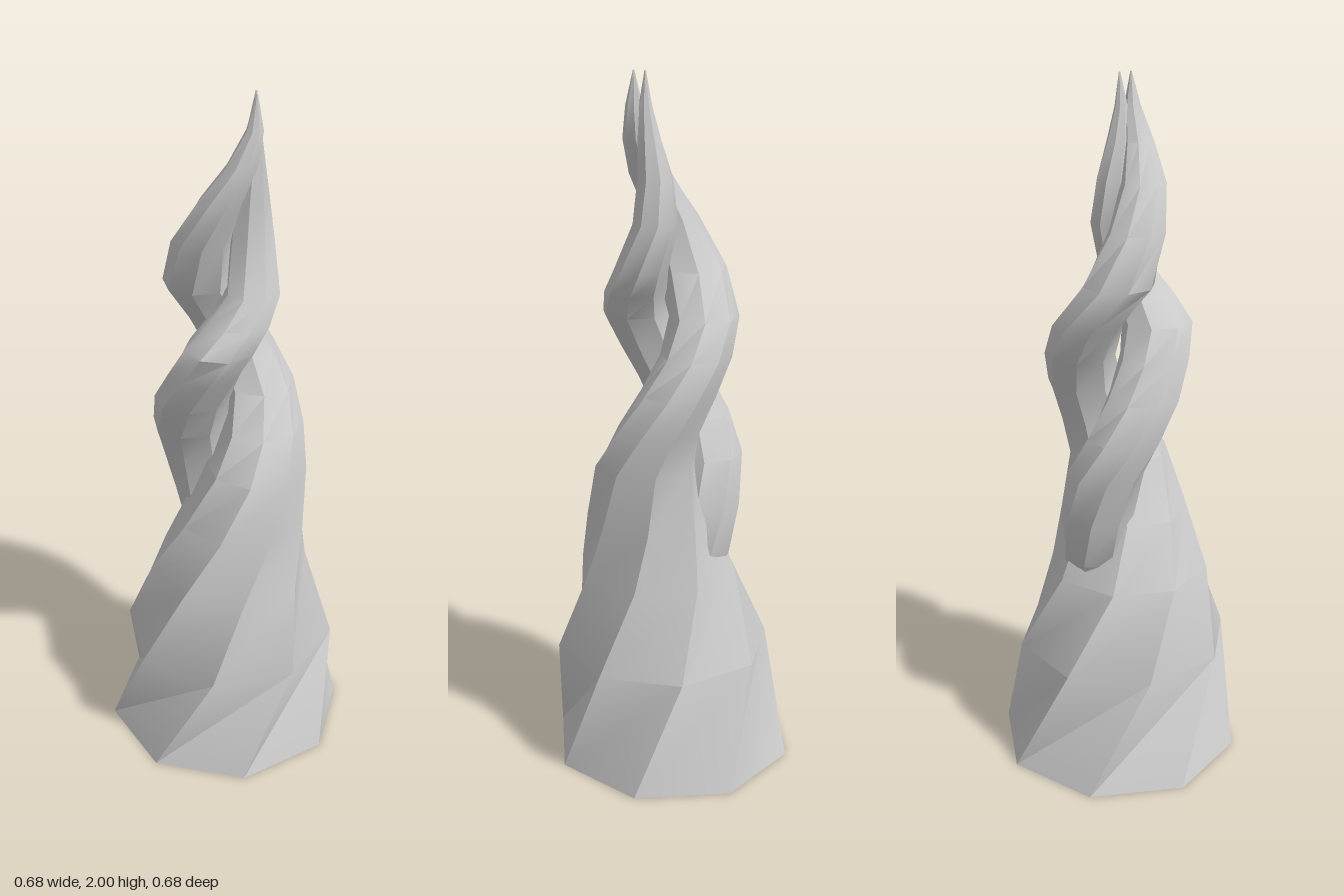
import * as THREE from 'three';
import { toCreasedNormals } from 'three/addons/utils/BufferGeometryUtils.js';

const SIDES = 8;

// Lofts eight-sided rings [y, centreX, centreZ, radius] with a steady twist.
function twistedStrand(name, rings, phase, twist) {
  const pos = [], index = [];
  for (const [y, cx, cz, r] of rings) {
    for (let j = 0; j < SIDES; j++) {
      const a = phase + twist * y + (j / SIDES) * Math.PI * 2;
      pos.push(cx + r * Math.sin(a), y, cz + r * Math.cos(a));
    }
  }
  for (let i = 0; i < rings.length - 1; i++) {
    for (let j = 0; j < SIDES; j++) {
      const k = (j + 1) % SIDES;
      const a = i * SIDES + j, b = i * SIDES + k;
      const c = a + SIDES, d = b + SIDES;
      index.push(a, b, d, a, d, c);
    }
  }
  // end caps
  const last = (rings.length - 1) * SIDES;
  for (let j = 1; j < SIDES - 1; j++) {
    index.push(0, j + 1, j, last, last + j, last + j + 1);
  }
  const geo = new THREE.BufferGeometry();
  geo.setAttribute('position', new THREE.Float32BufferAttribute(pos, 3));
  geo.setIndex(index);
  const mesh = new THREE.Mesh(
    toCreasedNormals(geo, 0.7),
    new THREE.MeshStandardMaterial({ color: 0xcccccc })
  );
  mesh.name = name;
  return mesh;
}

export function createModel() {
  const group = new THREE.Group();
  group.name = 'twistedSpire';

  // wide base that narrows and winds front, left, back, right, to the tip
  group.add(twistedStrand('mainStrand', [
    [0, 0, 0, 0.36],
    [0.34, 0, 0.025, 0.315],
    [0.58, -0.01, 0.04, 0.235],
    [0.75, 0.025, 0.06, 0.185],
    [0.92, 0.06, 0.075, 0.145],
    [1.03, 0.095, 0.04, 0.122],
    [1.14, 0.11, -0.015, 0.108],
    [1.24, 0.085, -0.065, 0.1],
    [1.34, 0.035, -0.09, 0.098],
    [1.46, -0.05, -0.06, 0.1],
    [1.6, -0.07, -0.005, 0.08],
    [1.72, -0.045, 0.055, 0.062],
    [1.82, 0, 0.09, 0.042],
    [1.91, 0.03, 0.1, 0.023],
    [2, 0.035, 0.1, 0.002],
  ], -0.34, 1.4));

  // thinner strand that leaves the back and winds opposite the main one
  group.add(twistedStrand('secondStrand', [
    [0.55, 0.03, -0.05, 0.07],
    [0.64, 0.02, -0.075, 0.1],
    [0.78, 0, -0.095, 0.105],
    [0.92, -0.035, -0.1, 0.108],
    [1.03, -0.08, -0.065, 0.108],
    [1.14, -0.1, -0.01, 0.105],
    [1.24, -0.09, 0.05, 0.1],
    [1.33, -0.065, 0.095, 0.1],
    [1.4, -0.01, 0.1, 0.088],
    [1.47, 0.04, 0.085, 0.075],
    [1.6, 0.055, 0.045, 0.062],
    [1.72, 0.05, 0.045, 0.05],
    [1.82, 0.045, 0.06, 0.034],
    [1.91, 0.045, 0.07, 0.018],
    [2, 0.05, 0.07, 0.002],
  ], 0.2, 1.4));

  return group;
}
